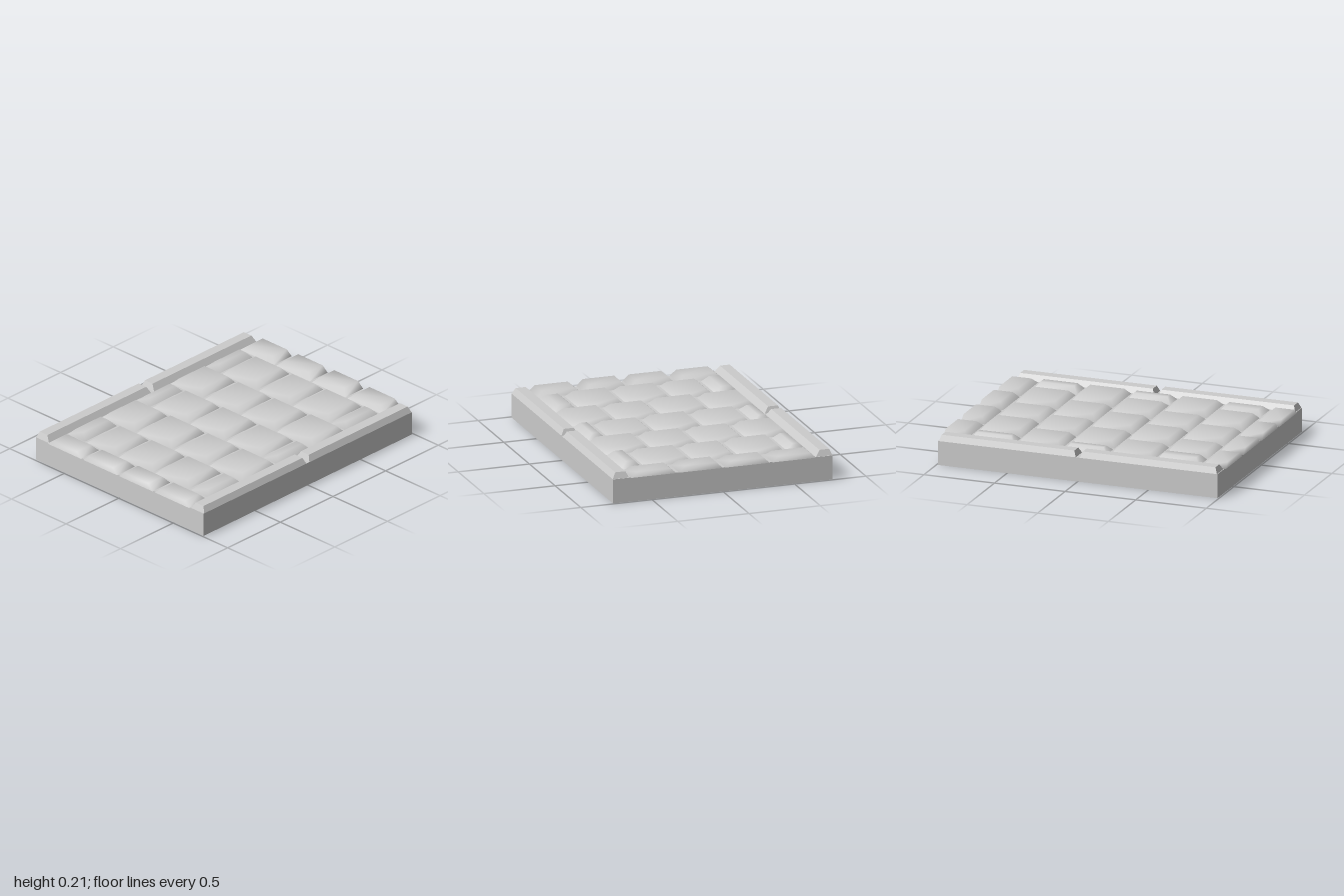
import * as THREE from 'three';

const stoneGrey = new THREE.MeshStandardMaterial({ color: 0xcccccc });
stoneGrey.name = 'stoneGrey';

const FLOOR = 0.166;

// Block with sloping sides: a footprint, a top height and an inset for each side
function bevelledBlock(x0, x1, z0, z1, top, [left, right, back, front], smooth) {
  const foot = [[x0, z0], [x0, z1], [x1, z1], [x1, z0]];
  const crown = [
    [x0 + left, z0 + back], [x0 + left, z1 - front],
    [x1 - right, z1 - front], [x1 - right, z0 + back],
  ];
  const points = [];
  foot.forEach(([x, z]) => points.push(x, FLOOR, z));
  crown.forEach(([x, z]) => points.push(x, top, z));
  foot.forEach(([x, z]) => points.push(x, FLOOR, z)); // separate corners for the underside

  const faces = [4, 5, 6, 4, 6, 7, 8, 10, 9, 8, 11, 10];
  for (let i = 0; i < 4; i++) {
    const j = (i + 1) % 4;
    faces.push(i, j, j + 4, i, j + 4, i + 4);
  }
  let geometry = new THREE.BufferGeometry();
  geometry.setAttribute('position', new THREE.Float32BufferAttribute(points, 3));
  geometry.setIndex(faces);
  if (!smooth) geometry = geometry.toNonIndexed();
  geometry.computeVertexNormals();
  return geometry;
}

// Columns of paving stones: x range, then the z of each joint
const edgeJoints = [-0.66, -0.335, -0.005, 0.32, 0.655];
const columns = [
  [-1.0, -0.83, edgeJoints],
  [-0.81, -0.505, [-0.66, -0.485, -0.193, 0.14, 0.47, 0.655]],
  [-0.485, -0.175, [-0.66, -0.34, 0.003, 0.322, 0.655]],
  [-0.155, 0.15, [-0.66, -0.513, -0.173, 0.165, 0.502, 0.655]],
  [0.17, 0.48, [-0.66, -0.35, -0.02, 0.312, 0.655]],
  [0.5, 0.81, [-0.66, -0.51, -0.173, 0.14, 0.49, 0.655]],
  [0.83, 1.0, edgeJoints],
];

export function createModel() {
  const model = new THREE.Group();
  model.name = 'pavingTile';
  const add = (name, geometry, parent) => {
    const mesh = new THREE.Mesh(geometry, stoneGrey);
    mesh.name = name;
    parent.add(mesh);
    return mesh;
  };

  // Solid slab
  add('baseSlab', new THREE.BoxGeometry(1.98, FLOOR, 1.54), model).position.y = FLOOR / 2;

  // Cobbles, cut straight at the two outer sides
  const cobbles = new THREE.Group();
  cobbles.name = 'cobbles';
  model.add(cobbles);
  columns.forEach(([x0, x1, joints], c) => {
    for (let r = 0; r < joints.length - 1; r++) {
      const insets = [c === 0 ? 0.003 : 0.035, c === 6 ? 0.003 : 0.035, 0.042, 0.042];
      const top = 0.203 + 0.003 * ((c * 2 + r) % 3);
      add('cobble', bevelledBlock(x0, x1, joints[r] + 0.01, joints[r + 1] - 0.01, top, insets, true), cobbles);
    }
  });

  // Two kerb stones along the front and two along the back
  const kerbs = new THREE.Group();
  kerbs.name = 'kerbs';
  model.add(kerbs);
  for (const [z0, z1, insets] of [[-0.77, -0.655, [0.016, 0.016, 0.016, 0.03]], [0.655, 0.77, [0.016, 0.016, 0.022, 0.022]]]) {
    for (const [x0, x1] of [[-0.985, -0.014], [0.014, 0.985]]) {
      add('kerbStone', bevelledBlock(x0, x1, z0, z1, 0.207, insets, false), kerbs);
    }
  }
  return model;
}
